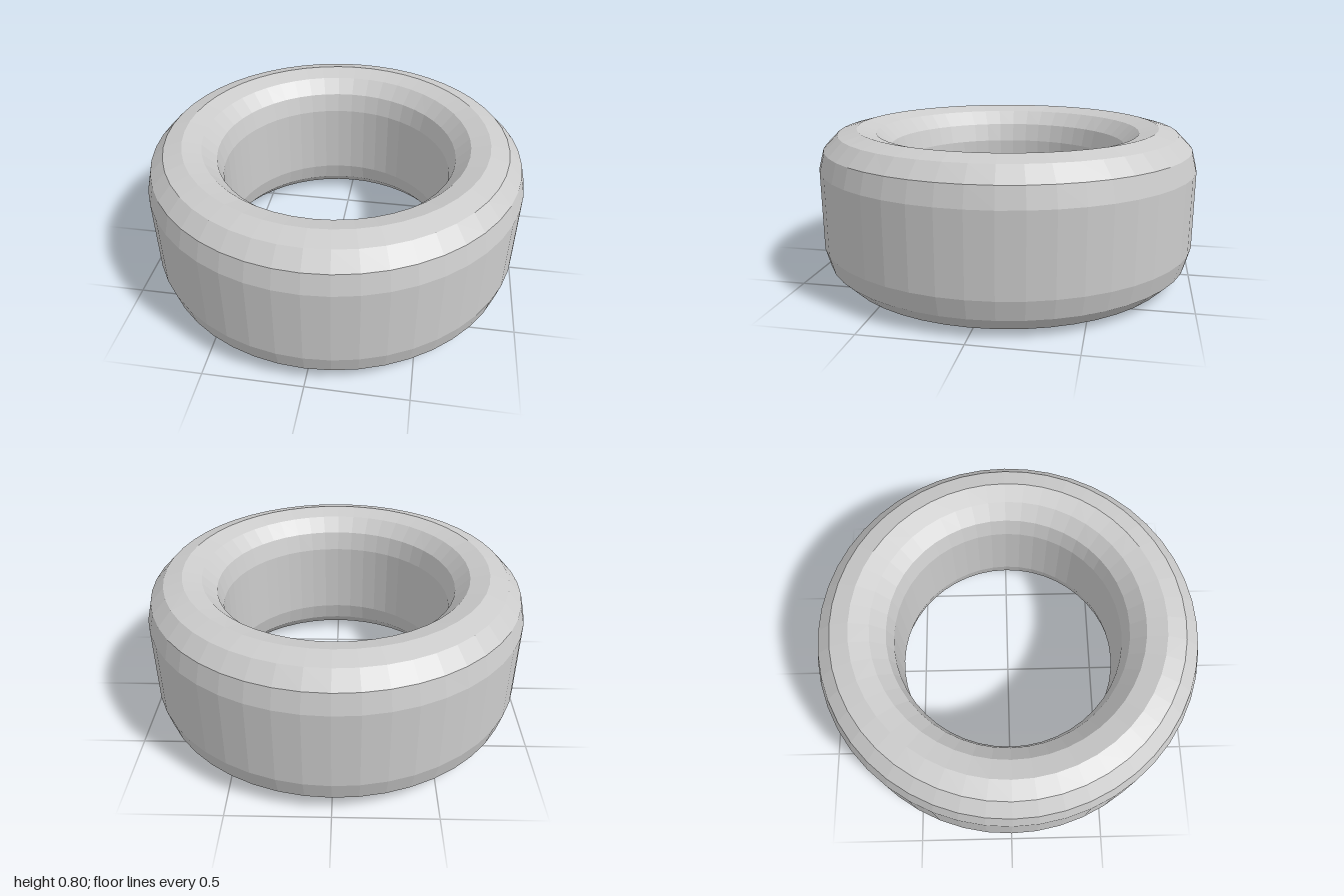
import * as THREE from 'three';

const SEGMENTS = 48;
const CORNER = 0.2; // radius of the rounded shoulders
const CENTRE = 0.8; // radius of the ring's centre line

export function createModel() {
  const group = new THREE.Group();
  group.name = 'ring';

  // Closed cross-section: straight inner and outer walls joined by half-round ends
  const profile = [];
  const halfRound = (y, start) => {
    for (let i = 0; i <= 6; i++) {
      const a = start + (i * Math.PI) / 6;
      profile.push(new THREE.Vector2(CENTRE + CORNER * Math.cos(a), y + CORNER * Math.sin(a)));
    }
  };
  halfRound(0.2, Math.PI); // underside, inner to outer
  halfRound(0.6, 0); // top, outer to inner
  profile.push(profile[0].clone());

  const geometry = new THREE.LatheGeometry(profile, SEGMENTS);

  // The outer wall is very slightly narrower across x than along z
  const pos = geometry.attributes.position;
  for (let i = 0; i < pos.count; i++) {
    const r = Math.hypot(pos.getX(i), pos.getZ(i));
    pos.setX(i, pos.getX(i) * (1 - 0.035 * (r - 0.6)));
  }
  geometry.computeVertexNormals();

  const tyre = new THREE.Mesh(
    geometry,
    new THREE.MeshStandardMaterial({ color: 0xcccccc, flatShading: true })
  );
  tyre.name = 'tyre';
  group.add(tyre);
  return group;
}
